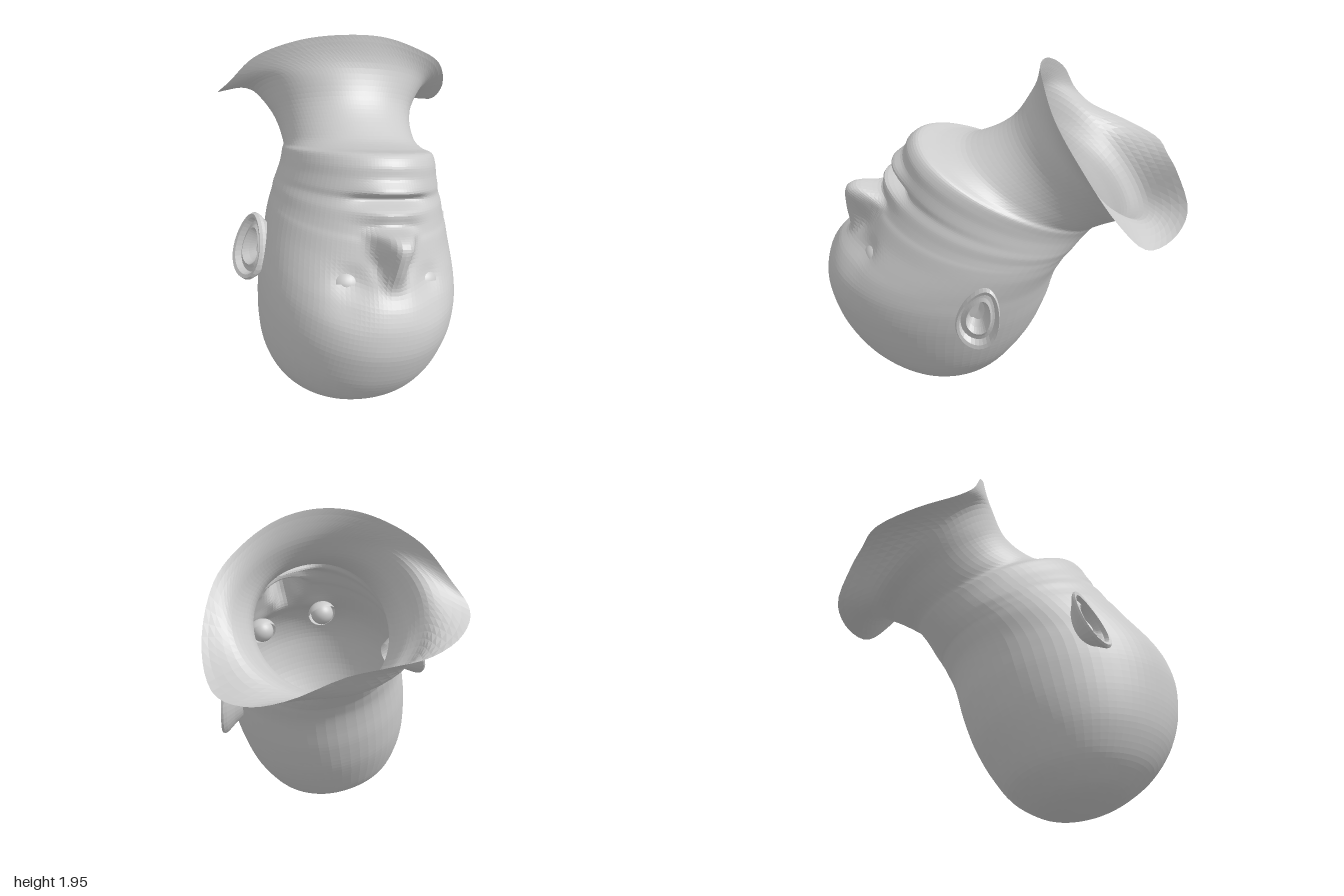
import * as THREE from 'three';

const V = (x, y, z) => new THREE.Vector3(x, y, z);
const material = new THREE.MeshStandardMaterial({ color: 0xcccccc, flatShading: true, side: THREE.DoubleSide });
const smooth = new THREE.MeshStandardMaterial({ color: 0xcccccc, side: THREE.DoubleSide });

// The head hangs upside down, slightly turned: SIDE runs from ear to ear
const SIDE = V(0.963, -0.187, -0.196).normalize();
const CENTRE = V(0.035, 0.83, 0.175);

// Point given by its height and depth on the plane of symmetry and its offset along SIDE
function onPlane(y, z, a = 0) {
  const x = CENTRE.x + 0.194 * (y - CENTRE.y) + 0.2035 * (z - CENTRE.z);
  return V(x, y, z).addScaledVector(SIDE, a);
}

// Rings from crown to neck: front z, front y, back z, back y, half width
const rings = [
  [0.34, 0, 0.34, 0, 0],
  [0.48, 0.03, 0.2, 0.025, 0.17],
  [0.62, 0.08, 0.1, 0.065, 0.28],
  [0.77, 0.19, -0.02, 0.15, 0.39],
  [0.89, 0.34, -0.12, 0.29, 0.47],
  [0.97, 0.52, -0.2, 0.43, 0.51],
  [1.0, 0.72, -0.26, 0.59, 0.53],
  [0.97, 0.86, -0.29, 0.71, 0.53],
  [0.91, 0.96, -0.31, 0.78, 0.52],
  [0.83, 1.04, -0.33, 0.83, 0.51],
  [0.74, 1.13, -0.36, 0.88, 0.495],
  [0.68, 1.21, -0.38, 0.91, 0.48],
  [0.65, 1.245, -0.395, 0.925, 0.47],
  [0.625, 1.285, -0.41, 0.94, 0.46],
  [0.59, 1.34, -0.43, 0.96, 0.45],
  [0.55, 1.385, -0.445, 0.975, 0.435],
  [0.54, 1.43, -0.46, 0.99, 0.425],
  [0.51, 1.49, -0.48, 1.01, 0.41],
  [0.48, 1.55, -0.5, 1.03, 0.4],
  [0.42, 1.583, -0.52, 1.05, 0.39],
  [0.31, 1.545, -0.54, 1.07, 0.37],
  [0.18, 1.525, -0.57, 1.09, 0.365],
  [0.03, 1.57, -0.62, 1.115, 0.375],
  [-0.08, 1.64, -0.69, 1.15, 0.41],
  [-0.17, 1.76, -0.8, 1.19, 0.5],
];

// Nose and mouth, by ring: push in z, push in y, half width
const features = {
  9: [0.01, 0, 0.05], 10: [0.1, 0.03, 0.06], 11: [0.15, 0.075, 0.09],
  12: [0.12, 0.075, 0.1], 13: [0.015, 0.01, 0.08],
  14: [0.025, 0.02, 0.16], 15: [-0.045, -0.015, 0.18], 16: [0.03, 0.015, 0.15],
};

// Flared, uneven edge of the neck, from the front towards +x and round
const rim = new THREE.CatmullRomCurve3([
  V(0.03, 1.945, -0.2), V(0.25, 1.91, -0.23), V(0.45, 1.8, -0.3), V(0.6, 1.65, -0.42),
  V(0.67, 1.38, -0.62), V(0.62, 1.21, -0.78), V(0.47, 1.2, -0.92), V(0.28, 1.26, -1),
  V(0, 1.35, -0.96), V(-0.2, 1.37, -0.92), V(-0.4, 1.39, -0.87), V(-0.6, 1.42, -0.68),
  V(-0.68, 1.48, -0.48), V(-0.6, 1.6, -0.38), V(-0.45, 1.78, -0.31), V(-0.2, 1.91, -0.23),
], true);

// Joins a grid of points, closed around each row
function gridGeometry(rows) {
  const n = rows[0].length, index = [];
  for (let r = 0; r < rows.length - 1; r++) {
    for (let c = 0; c < n; c++) {
      const a = r * n + c, b = r * n + (c + 1) % n;
      index.push(a, b, a + n, b, b + n, a + n);
    }
  }
  const g = new THREE.BufferGeometry().setFromPoints(rows.flat());
  g.setIndex(index);
  g.computeVertexNormals();
  return g;
}

function headPoint(i, t) {
  const [fz, fy, bz, by, w] = rings[i];
  const k = (1 + Math.cos(t)) / 2;
  const s = Math.sin(t);
  const a = w * Math.sign(s) * Math.abs(s) ** 0.95;
  const p = onPlane(by + (fy - by) * k, bz + (fz - bz) * k, a);
  if (Math.cos(t) > 0) {
    if (features[i]) {
      const [dz, dy, width] = features[i];
      const f = Math.exp(-(Math.abs(a / width) ** 3));
      p.add(V(0.2 * dz + 0.19 * dy, dy, dz).multiplyScalar(f));
    }
    // Eye sockets
    for (const m of [-1, 1]) {
      const d = p.distanceTo(onPlane(1.01, 0.78, m * 0.2));
      p.z -= 0.06 * Math.exp(-((d / 0.11) ** 2));
    }
  }
  return p;
}

// Skull, face and neck as one open skin; columns are closer together on the face
function skin() {
  const cols = 88, rowCount = rings.length * 5;
  const rows = Array.from({ length: rowCount + 1 }, () => []);
  for (let c = 0; c < cols; c++) {
    const u = 2 * Math.PI * c / cols;
    const t = u - 0.45 * Math.sin(u);
    const points = rings.map((_, i) => headPoint(i, t));
    points.push(rim.getPoint(t / (2 * Math.PI)));
    const curve = new THREE.CatmullRomCurve3(points, false, 'catmullrom', 0.45);
    rows.forEach((row, r) => row.push(curve.getPoint(r / rowCount)));
  }
  return gridGeometry(rows);
}

// Ear shell: rings from the root behind, over the rim, into the bowl [scale, out]
function ear() {
  const profile = [[0.5, -0.09], [0.75, -0.02], [0.97, 0.025], [1.02, 0.045], [0.97, 0.06], [0.86, 0.055],
    [0.78, 0.025], [0.66, 0.03], [0.56, 0.04], [0.45, 0.01], [0.3, -0.02], [0, -0.025]];
  const rows = profile.map(([s, out]) => Array.from({ length: 32 }, (_, k) => {
    const t = 2 * Math.PI * k / 32;
    const up = 0.19 * s * Math.cos(t);
    const fwd = s * Math.sin(t) * (0.105 + 0.025 * Math.cos(t));
    return V(out - 0.45 * fwd + 0.12 * up, up, fwd);
  }));
  return gridGeometry(rows);
}

export function createModel() {
  const model = new THREE.Group();
  model.name = 'invertedHead';
  const add = (parent, name, geometry, mat = material) => {
    const m = new THREE.Mesh(geometry, mat);
    m.name = name;
    parent.add(m);
    return m;
  };
  add(model, 'headAndNeck', skin());

  // Frame of the head: x sideways, y to the crown, z out of the face
  const ex = SIDE.clone().negate();
  const ey = V(-0.117, -0.95, 0.33);
  ey.addScaledVector(ex, -ey.dot(ex)).normalize();
  const turn = new THREE.Matrix4().makeBasis(ex, ey, ex.clone().cross(ey));

  const earGeometry = ear();
  const ball = new THREE.SphereGeometry(0.072, 24, 16);
  const deg = Math.PI / 180;
  const lid = (from, to) => new THREE.SphereGeometry(0.08, 16, 16, from * deg, (to - from) * deg)
    .rotateZ(Math.PI / 2).scale(1.12, 1, 1);
  const upperLid = lid(104, 200), lowerLid = lid(-20, 74);

  for (const m of [-1, 1]) {
    const side = m < 0 ? 'right' : 'left';

    const earGroup = new THREE.Group();
    earGroup.quaternion.setFromRotationMatrix(turn);
    earGroup.position.copy(CENTRE).addScaledVector(ex, m * 0.535);
    add(earGroup, side + 'Ear', earGeometry).scale.x = m;

    const eye = new THREE.Group();
    eye.name = side + 'Eye';
    eye.quaternion.copy(earGroup.quaternion);
    eye.position.copy(onPlane(0.985, 0.685, -m * 0.205));
    add(eye, side + 'Eyeball', ball, smooth);
    add(eye, side + 'UpperEyelid', upperLid, smooth);
    add(eye, side + 'LowerEyelid', lowerLid, smooth);
    model.add(earGroup, eye);
  }
  return model;
}
